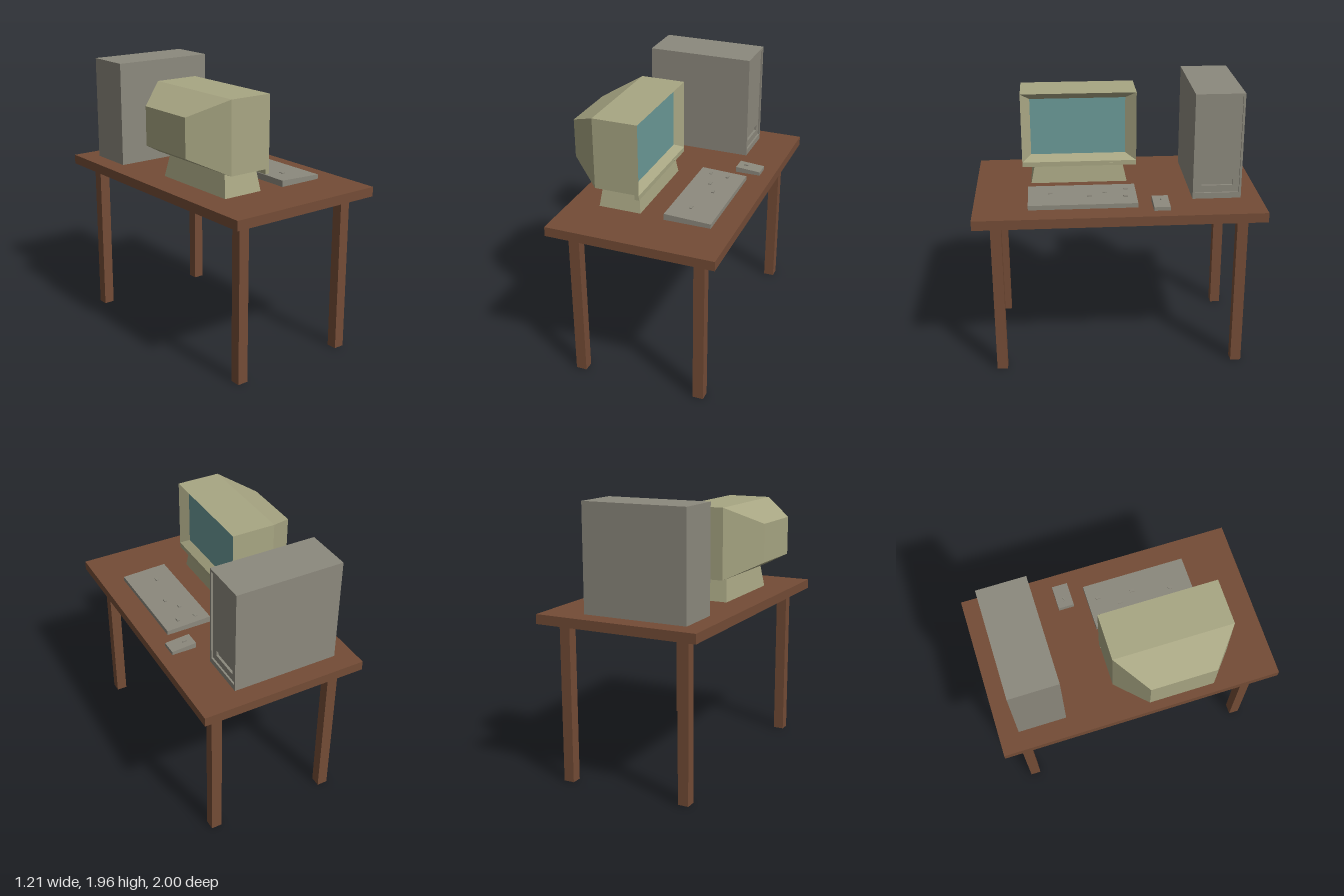
import * as THREE from 'three';

const mat = (name, color) => {
  const m = new THREE.MeshStandardMaterial({ color });
  m.name = name;
  return m;
};

// Skin over rectangular sections [x, y0, y1, z0, z1]; rings may step back to form recesses.
function loft(rings, capEnd = true) {
  const pts = rings.map(([x, y0, y1, z0, z1]) => [[x, y0, z1], [x, y0, z0], [x, y1, z0], [x, y1, z1]]);
  const pos = [];
  const quad = (a, b, c, d) => pos.push(...a, ...b, ...c, ...a, ...c, ...d);
  for (let r = 0; r < pts.length - 1; r++) {
    const a = pts[r], b = pts[r + 1];
    for (let i = 0; i < 4; i++) {
      const j = (i + 1) % 4;
      quad(a[i], a[j], b[j], b[i]);
    }
  }
  const s = pts[0], e = pts[pts.length - 1];
  quad(s[3], s[2], s[1], s[0]);
  if (capEnd) quad(...e);
  const g = new THREE.BufferGeometry();
  g.setAttribute('position', new THREE.Float32BufferAttribute(pos, 3));
  g.computeVertexNormals();
  return g;
}

// Box given by its limits
function box(x0, x1, y0, y1, z0, z1) {
  return new THREE.BoxGeometry(x1 - x0, y1 - y0, z1 - z0)
    .translate((x0 + x1) / 2, (y0 + y1) / 2, (z0 + z1) / 2);
}

export function createModel() {
  const wood = mat('brown wood', 0x744c36);
  const grey = mat('warm grey plastic', 0x8c897d);
  const beige = mat('beige plastic', 0xa8a683);
  const glass = mat('teal screen', 0x6b9a98);

  const model = new THREE.Group();
  const group = (name) => {
    const g = new THREE.Group();
    g.name = name;
    model.add(g);
    return g;
  };
  const add = (parent, name, geo, material) => {
    const m = new THREE.Mesh(geo, material);
    m.name = name;
    parent.add(m);
  };

  // Table
  const table = group('table');
  add(table, 'tableTop', box(-0.59, 0.6, 1.14, 1.208, -1, 1), wood);
  for (const x of [-0.48, 0.415])
    for (const z of [-0.885, 0.81])
      add(table, 'tableLeg', box(x, x + 0.077, 0, 1.14, z, z + 0.075), wood);

  // Computer tower: recessed front panel with a deeper disc slot
  const tower = group('tower');
  add(tower, 'towerCase', loft([
    [-0.455, 1.208, 1.96, -0.86, -0.52],
    [0.31, 1.208, 1.96, -0.86, -0.52],
    [0.31, 1.25, 1.94, -0.845, -0.535],
    [0.297, 1.25, 1.94, -0.845, -0.535],
    [0.297, 1.3, 1.342, -0.8, -0.583],
    [0.28, 1.3, 1.342, -0.8, -0.583],
  ]), grey);

  // Monitor: tapered back, deep body and bevelled frame around the screen
  const monitor = group('monitor');
  add(monitor, 'monitorBody', loft([
    [-0.605, 1.49, 1.762, 0.03, 0.48],
    [-0.375, 1.375, 1.88, -0.157, 0.665],
    [-0.055, 1.375, 1.88, -0.157, 0.665],
    [-0.105, 1.42, 1.832, -0.08, 0.6],
  ], false), beige);
  add(monitor, 'screen', new THREE.PlaneGeometry(0.68, 0.412)
    .rotateY(Math.PI / 2).translate(-0.105, 1.626, 0.26), glass);
  add(monitor, 'lowerLip', box(-0.085, -0.055, 1.34, 1.375, -0.157, 0.665), beige);
  add(monitor, 'powerButton', box(-0.056, -0.049, 1.35, 1.358, 0.012, 0.038), beige);
  // Stand is lofted along its height, then turned upright
  add(monitor, 'monitorStand', loft([
    [1.208, 0.073, 0.377, -0.09, 0.605],
    [1.376, 0.092, 0.355, -0.05, 0.57],
  ]).rotateZ(Math.PI / 2), beige);

  // Keyboard, sloping down toward the user, with a few raised keys
  const keyboard = group('keyboard');
  add(keyboard, 'keyboardCase', loft([
    [0.105, 1.208, 1.253, -0.128, 0.625],
    [0.437, 1.208, 1.24, -0.128, 0.625],
  ]), grey);
  for (const [x, z] of [[0.19, -0.06], [0.32, -0.05], [0.24, 0.09], [0.3, 0.2], [0.24, 0.47]])
    add(keyboard, 'raisedKey', box(x - 0.01, x + 0.01, 1.238, 1.254, z - 0.016, z + 0.016), grey);

  // Mouse with a small wheel
  const mouse = group('mouse');
  add(mouse, 'mouseBody', loft([
    [0.325, 1.208, 1.247, -0.342, -0.23],
    [0.505, 1.208, 1.234, -0.342, -0.23],
  ]), grey);
  add(mouse, 'mouseWheel', box(0.37, 0.4, 1.236, 1.252, -0.292, -0.282), grey);

  return model;
}
